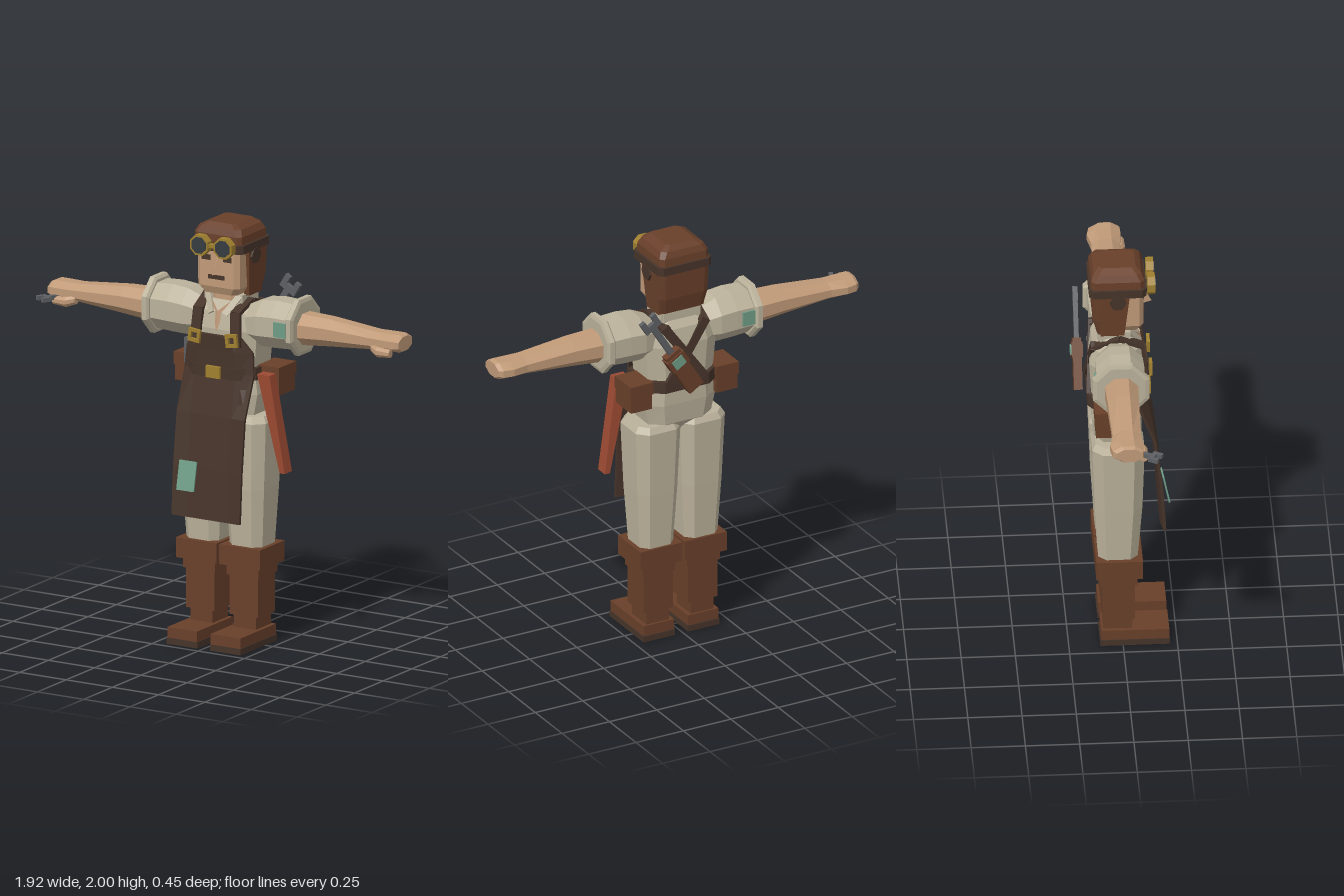
import * as THREE from 'three';

const mat = (name, color) => {
  const m = new THREE.MeshStandardMaterial({ color, flatShading: true, side: THREE.DoubleSide });
  m.name = name;
  return m;
};

export function createModel() {
  const cream = mat('cream cloth', 0xbbb29b), skin = mat('skin', 0xc09a78);
  const leather = mat('brown leather', 0x69402a), dark = mat('dark leather', 0x46342a);
  const gold = mat('brass', 0xa08030), steel = mat('steel', 0x5c5f63);
  const glass = mat('dark glass', 0x353b40), teal = mat('teal patch', 0x6d9c86);
  const red = mat('red cloth', 0x9c4a32);

  const model = new THREE.Group();
  model.name = 'workshopMechanic';
  const body = new THREE.Group();
  body.name = 'figure';
  body.position.x = 0.008;
  model.add(body);

  const add = (name, geo, m, parent = body) => {
    const mesh = new THREE.Mesh(geo, m);
    mesh.name = name;
    parent.add(mesh);
    return mesh;
  };
  // box given by its limits
  const box = (name, m, x0, x1, y0, y1, z0, z1, parent = body) => {
    const b = add(name, new THREE.BoxGeometry(x1 - x0, y1 - y0, z1 - z0), m, parent);
    b.position.set((x0 + x1) / 2, (y0 + y1) / 2, (z0 + z1) / 2);
    return b;
  };
  // closed skin over a stack of equal rings
  const loft = (rings) => {
    const n = rings[0].length, index = [];
    for (let i = 0; i < rings.length - 1; i++) {
      for (let j = 0; j < n; j++) {
        const a = i * n + j, b = i * n + (j + 1) % n;
        index.push(a, b, b + n, a, b + n, a + n);
      }
    }
    const top = (rings.length - 1) * n;
    for (let j = 1; j < n - 1; j++) index.push(0, j + 1, j, top, top + j, top + j + 1);
    const g = new THREE.BufferGeometry();
    g.setAttribute('position', new THREE.Float32BufferAttribute(rings.flat(2), 3));
    g.setIndex(index);
    const flat = g.toNonIndexed();
    flat.computeVertexNormals();
    return flat;
  };
  // chamfered rectangle at height y, from z front to z back
  const ring = (y, hx, zf, zb, cut = 0.4, cx = 0) => {
    const cz = (zf + zb) / 2, hz = (zf - zb) / 2, k = 1 - cut;
    return [[1, k], [1, -k], [k, -1], [-k, -1], [-1, -k], [-1, k], [-k, 1], [k, 1]]
      .map(([u, v]) => [cx + u * hx, y, cz + v * hz]);
  };
  // eight-sided limb along x; rows are [x, yCentre, zCentre, halfY, halfZ]
  const limb = (s, rows) => loft(rows.map(([x, cy, cz, hy, hz]) =>
    Array.from({ length: 8 }, (_, i) => {
      const t = (i + 0.5) * Math.PI / 4;
      return [s * x, cy + hy * 1.08 * Math.cos(t), cz + s * hz * 1.08 * Math.sin(t)];
    })));
  // flat strap from a to b
  const strap = (name, m, a, b, w, d, out = [0, 0, 1]) => {
    const A = new THREE.Vector3(...a), B = new THREE.Vector3(...b);
    const y = B.clone().sub(A), len = y.length();
    y.normalize();
    const x = y.clone().cross(new THREE.Vector3(...out)).normalize();
    const s = add(name, new THREE.BoxGeometry(w, len, d), m);
    s.quaternion.setFromRotationMatrix(new THREE.Matrix4().makeBasis(x, y, x.clone().cross(y)));
    s.position.copy(A).add(B).multiplyScalar(0.5);
    return s;
  };
  // square brass buckle frame
  const buckle = (x, y, z, size, tilt) => {
    const o = size / 2, i = o * 0.5;
    const shape = new THREE.Shape([[-o, -o], [o, -o], [o, o], [-o, o]].map(p => new THREE.Vector2(...p)));
    shape.holes.push(new THREE.Path([[-i, -i], [-i, i], [i, i], [i, -i]].map(p => new THREE.Vector2(...p))));
    const b = add('strapBuckle', new THREE.ExtrudeGeometry(shape, { depth: 0.015, bevelEnabled: false }), gold);
    b.position.set(x, y, z);
    b.rotation.z = tilt;
  };
  // open-ended spanner pointing up
  const spanner = (name, parent, len, w, d) => {
    const g = new THREE.Group();
    g.name = name;
    box('shaft', steel, -w / 2, w / 2, 0, len, -d / 2, d / 2, g);
    box('jawBase', steel, -w * 1.5, w * 1.5, len, len + w, -d / 2, d / 2, g);
    for (const s of [-1, 1]) {
      const j = box('jaw', steel, -w * 0.45, w * 0.45, len + w, len + 2.2 * w, -d / 2, d / 2, g);
      j.position.x = s * w * 1.05;
    }
    parent.add(g);
    return g;
  };

  // torso, hips and collar
  add('torso', loft([ring(1.03, 0.07, 0.03, -0.08), ring(1.1, 0.165, 0.085, -0.13), ring(1.2, 0.185, 0.09, -0.14),
    ring(1.32, 0.17, 0.09, -0.14), ring(1.5, 0.185, 0.1, -0.15), ring(1.58, 0.165, 0.085, -0.135),
    ring(1.63, 0.1, 0.05, -0.1)]), cream);
  add('neck', loft([ring(1.55, 0.07, 0.05, -0.08), ring(1.69, 0.068, 0.045, -0.08)]), skin);
  for (const s of [-1, 1]) strap('collar', cream, [s * 0.035, 1.57, 0.085], [s * 0.085, 1.655, 0.03], 0.03, 0.02);
  box('collarBack', cream, -0.095, 0.095, 1.61, 1.66, -0.11, -0.08);
  for (const s of [-1, 1]) box('collarSide', cream, s * 0.09 - 0.012, s * 0.09 + 0.012, 1.61, 1.66, -0.1, 0.04);
  const vee = new THREE.BufferGeometry();
  vee.setAttribute('position', new THREE.Float32BufferAttribute(
    [-0.05, 1.63, 0.06, 0, 1.49, 0.107, 0, 1.585, 0.092, 0, 1.585, 0.092, 0, 1.49, 0.107, 0.05, 1.63, 0.06], 3));
  vee.computeVertexNormals();
  add('openNeck', vee, skin);

  for (const s of [-1, 1]) {
    // trouser leg and boot
    const c = s * 0.117;
    add('trouserLeg', loft([ring(0.42, 0.085, 0.065, -0.11, 0.4, c), ring(0.75, 0.105, 0.09, -0.13, 0.4, c),
      ring(1.07, 0.118, 0.1, -0.142, 0.4, c), ring(1.1, 0.1, 0.08, -0.125, 0.4, c)]), cream);
    box('bootSole', dark, c - 0.083, c + 0.083, 0, 0.03, -0.105, 0.215);
    box('bootFoot', leather, c - 0.08, c + 0.08, 0.03, 0.08, -0.1, 0.213);
    box('bootAnkle', leather, c - 0.06, c + 0.06, 0.08, 0.14, -0.09, 0.045);
    box('bootShaft', leather, c - 0.077, c + 0.077, 0.14, 0.33, -0.095, 0.055);
    box('bootRim', leather, c - 0.086, c + 0.086, 0.33, 0.38, -0.103, 0.065);
    box('bootCuff', leather, c - 0.11, c + 0.11, 0.38, 0.475, -0.125, 0.09);

    // puffed sleeve, cuff, arm and hand
    add('sleeve', limb(s, [[0.13, 1.53, -0.02, 0.09, 0.09], [0.2, 1.54, -0.02, 0.11, 0.11],
      [0.28, 1.545, -0.02, 0.113, 0.112], [0.375, 1.545, -0.02, 0.108, 0.11]]), cream);
    add('sleeveCuff', limb(s, [[0.368, 1.545, -0.022, 0.12, 0.118], [0.378, 1.545, -0.022, 0.133, 0.13],
      [0.402, 1.545, -0.022, 0.133, 0.13], [0.408, 1.545, -0.022, 0.115, 0.112]]), cream);
    add('arm', limb(s, [[0.39, 1.535, -0.02, 0.075, 0.078], [0.55, 1.54, -0.02, 0.065, 0.072],
      [0.8, 1.538, -0.02, 0.043, 0.066], [0.88, 1.54, -0.024, 0.04, 0.078],
      [0.93, 1.54, -0.02, 0.042, 0.072], [0.948, 1.54, -0.015, 0.034, 0.06]]), skin);
    add('thumb', limb(s, [[0.8, 1.51, 0.03, 0.02, 0.02], [0.84, 1.5, 0.05, 0.024, 0.022],
      [0.91, 1.5, 0.052, 0.018, 0.018]]), skin);
    // belt pouch
    const p = s * 0.225;
    box('beltPouch', leather, p - 0.055, p + 0.055, 1.2, 1.33, -0.13, 0.01);
    box('pouchFlap', leather, p - 0.06, p + 0.06, 1.275, 1.335, -0.135, 0.015);

    // apron strap over the shoulder, crossing at the back
    strap('frontStrap', dark, [s * 0.11, 1.43, 0.112], [s * 0.1, 1.59, 0.095], 0.05, 0.018);
    strap('shoulderStrap', dark, [s * 0.1, 1.585, 0.098], [s * 0.11, 1.635, -0.01], 0.05, 0.018, [0, 1, 0]);
    strap('shoulderStrap', dark, [s * 0.11, 1.635, -0.01], [s * 0.1, 1.585, -0.14], 0.05, 0.018, [0, 1, 0]);
    strap('backStrap', dark, [s * 0.11, 1.6, -0.135], [-s * 0.09, 1.32, -0.155], 0.045, 0.018);
    buckle(s * 0.1, 1.465, 0.125, 0.062, s * 0.12);
  }

  // curved apron; rows are [y, halfWidth, zMiddle, zEdge]
  const thick = 0.014;
  add('apron', loft([[0.615, 0.184, 0.188, 0.2], [0.85, 0.184, 0.173, 0.185], [1.1, 0.183, 0.15, 0.155],
    [1.3, 0.186, 0.118, 0.08], [1.4, 0.178, 0.118, 0.075], [1.475, 0.125, 0.122, 0.1]]
    .map(([y, w, zm, ze]) => [[w, ze], [w, ze - thick], [w * 0.6, zm - thick], [-w * 0.6, zm - thick],
      [-w, ze - thick], [-w, ze], [-w * 0.6, zm], [w * 0.6, zm]].map(([x, z]) => [x, y, z]))), dark);
  add('belt', loft([ring(1.275, 0.193, 0.125, -0.16), ring(1.33, 0.188, 0.125, -0.16)]), dark);
  box('beltBuckle', gold, -0.038, 0.038, 1.275, 1.33, 0.12, 0.138);
  const apronPatch = box('apronPatch', teal, -0.145, -0.055, 0.74, 0.88, 0.196, 0.204);
  apronPatch.rotation.set(-0.2, 0.08, 0);

  // sleeve patches
  box('sleevePatch', teal, 0.305, 0.37, 1.505, 1.575, 0.091, 0.1);
  box('sleevePatch', teal, -0.375, -0.305, 1.51, 1.58, -0.141, -0.132);

  // hanging rag and belt tool
  add('hangingRag', loft([[0.85, 0.318, 0.345, 0.065, 0], [1.31, 0.205, 0.272, 0.08, 0.025]]
    .map(([y, x0, x1, zf, zb]) => [[x1, y, zf], [x1, y, zb], [x0, y, zb], [x0, y, zf]])), red);
  box('beltTool', steel, -0.21, -0.185, 1.3, 1.42, 0.02, 0.045);

  // back holster with large spanner
  const holster = new THREE.Group();
  holster.name = 'backHolster';
  holster.position.set(0.045, 1.4, -0.197);
  holster.rotation.z = -0.56;
  body.add(holster);
  box('holsterBody', leather, -0.042, 0.042, -0.12, 0.12, -0.02, 0.02, holster);
  box('holsterBand', leather, -0.05, 0.05, 0.03, 0.1, -0.026, 0.026, holster);
  box('holsterPatch', teal, -0.03, 0.03, 0.04, 0.09, -0.031, -0.025, holster);
  spanner('backSpanner', holster, 0.29, 0.03, 0.022);

  // small spanner in the right hand
  const small = spanner('handSpanner', body, 0.05, 0.022, 0.02);
  small.position.set(-0.895, 1.515, 0.04);
  small.rotation.set(Math.PI / 2, 0, 0.5);

  // head and face
  add('head', loft([ring(1.665, 0.09, 0.085, -0.09, 0.25), ring(1.7, 0.112, 0.1, -0.1, 0.2),
    ring(1.9, 0.115, 0.1, -0.1, 0.2)]), skin);
  add('nose', loft([[[0.03, 1.77, 0.095], [-0.03, 1.77, 0.095], [0, 1.765, 0.143]],
    [[0.008, 1.84, 0.095], [-0.008, 1.84, 0.095], [0, 1.84, 0.105]]]), skin);
  box('moustache', dark, -0.043, 0.043, 1.738, 1.757, 0.098, 0.107);
  for (const s of [-1, 1]) box('eye', dark, s * 0.058 - 0.023, s * 0.058 + 0.023, 1.825, 1.85, 0.096, 0.104);

  // leather cap with ear flaps
  add('capCrown', loft([ring(1.87, 0.13, 0.105, -0.145, 0.15), ring(1.95, 0.127, 0.103, -0.142, 0.15),
    ring(1.98, 0.112, 0.09, -0.13, 0.2), ring(2.0, 0.075, 0.065, -0.105, 0.2)]), leather);
  add('capBack', loft([ring(1.66, 0.112, -0.04, -0.115, 0.2), ring(1.74, 0.125, -0.04, -0.135, 0.2),
    ring(1.89, 0.13, -0.04, -0.142, 0.2)]), leather);
  add('capBand', loft([ring(1.872, 0.14, 0.112, -0.152, 0.15), ring(1.912, 0.14, 0.112, -0.152, 0.15)]), dark);
  for (const s of [-1, 1]) {
    add('earFlap', loft([[1.655, 0.092, 0.12, 0.01, -0.1], [1.88, 0.1, 0.134, 0.035, -0.1]]
      .map(([y, i, o, zf, zb]) => ring(y, (o - i) / 2, zf, zb, 0.05, s * (i + o) / 2))), leather);
    const ear = add('earDisc', new THREE.CylinderGeometry(0.04, 0.04, 0.02, 6), dark);
    ear.rotation.z = Math.PI / 2;
    ear.position.set(s * 0.132, 1.845, -0.02);
    // goggles
    const rim = add('goggleRim', new THREE.CylinderGeometry(0.052, 0.052, 0.035, 8).rotateY(Math.PI / 8), gold);
    rim.rotation.x = Math.PI / 2;
    rim.position.set(s * 0.064, 1.902, 0.136);
    const lens = add('goggleLens', new THREE.CylinderGeometry(0.041, 0.041, 0.006, 8).rotateY(Math.PI / 8), glass);
    lens.rotation.x = Math.PI / 2;
    lens.position.set(s * 0.064, 1.902, 0.154);
  }
  box('goggleBridge', gold, -0.02, 0.02, 1.895, 1.912, 0.12, 0.145);

  return model;
}
